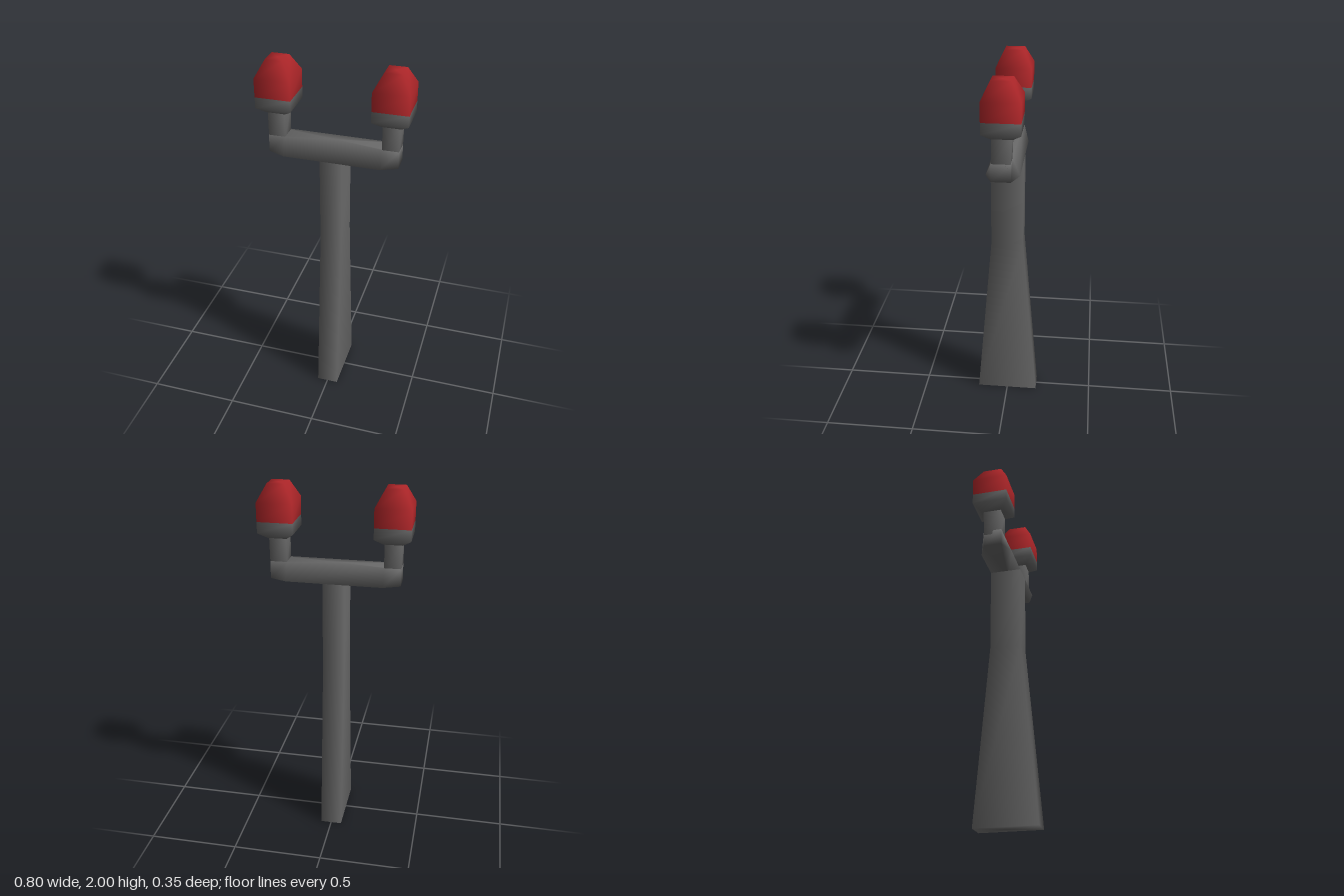
import * as THREE from 'three';

// Smooth skin over rings stacked in y. Each ring is { y, pts: [[x, z], ...] },
// counterclockwise from above. Bands from index `split` on use material 1.
function loft(rings, split = Infinity) {
  const n = rings[0].pts.length;
  const pos = [], index = [];
  for (const { y, pts } of rings) for (const [x, z] of pts) pos.push(x, y, z);
  const geo = new THREE.BufferGeometry();

  const cap = (r, up) => {
    const { y, pts } = rings[r];
    const cx = pts.reduce((s, p) => s + p[0], 0) / n;
    const cz = pts.reduce((s, p) => s + p[1], 0) / n;
    const c = pos.length / 3;
    pos.push(cx, y, cz);
    for (let i = 0; i < n; i++) {
      const a = r * n + i, b = r * n + (i + 1) % n;
      if (up) index.push(c, a, b); else index.push(c, b, a);
    }
  };

  cap(0, false);
  let splitAt = 0;
  for (let r = 0; r < rings.length - 1; r++) {
    if (r === split) splitAt = index.length;
    for (let i = 0; i < n; i++) {
      const a = r * n + i, b = r * n + (i + 1) % n;
      index.push(a, b, b + n, a, b + n, a + n);
    }
  }
  cap(rings.length - 1, true);

  geo.setAttribute('position', new THREE.Float32BufferAttribute(pos, 3));
  geo.setIndex(index);
  geo.computeVertexNormals();
  if (splitAt) {
    geo.addGroup(0, splitAt, 0);
    geo.addGroup(splitAt, index.length - splitAt, 1);
  }
  return geo;
}

// Rectangular ring given by half sizes and centre
const rect = (y, hx, hz, cx = 0, cz = 0) => ({
  y, pts: [[cx + hx, cz + hz], [cx + hx, cz - hz], [cx - hx, cz - hz], [cx - hx, cz + hz]],
});

// Ring for the crossbar: ends stay narrow, the middle has its own half depth
const barRing = (y, depth) => ({
  y,
  pts: [[0.35, 0.05], [0.35, -0.05], [0.26, -depth], [-0.26, -depth],
    [-0.35, -0.05], [-0.35, 0.05], [-0.26, depth], [0.26, depth]],
});

export function createModel() {
  const grey = new THREE.MeshStandardMaterial({ color: 0x686868 });
  grey.name = 'grey metal';
  const red = new THREE.MeshStandardMaterial({ color: 0xae2629 });
  red.name = 'red lamp';

  const model = new THREE.Group();
  model.name = 'twinLampPost';
  const add = (name, geo, mat) => {
    const mesh = new THREE.Mesh(geo, mat);
    mesh.name = name;
    model.add(mesh);
  };

  // Post: wide foot, tapering in depth up to half height
  add('post', loft([
    rect(0, 0.06, 0.175), rect(1, 0.06, 0.088), rect(1.49, 0.06, 0.088),
  ]), grey);

  // Crossbar with sloping front and back
  add('crossbar', loft([barRing(1.49, 0.088), barRing(1.585, 0.05)]), grey);

  for (const [side, s] of [['left', 1], ['right', -1]]) {
    const x = 0.305 * s;
    // Upright arm at the bar end
    add(side + 'Arm', loft([
      rect(1.56, 0.045, 0.048, x), rect(1.73, 0.045, 0.051, x, -0.004),
    ]), grey);
    // Lamp: grey flared cup below, red tapered cap above
    add(side + 'Lamp', loft([
      rect(1.715, 0.05, 0.055, x, -0.005),
      rect(1.75, 0.095, 0.098, x, -0.006),
      rect(1.81, 0.095, 0.098, x, -0.006),
      rect(1.91, 0.095, 0.098, x, -0.006),
      rect(2.0, 0.047, 0.052, x, -0.004),
    ], 2), [grey, red]);
  }
  return model;
}
